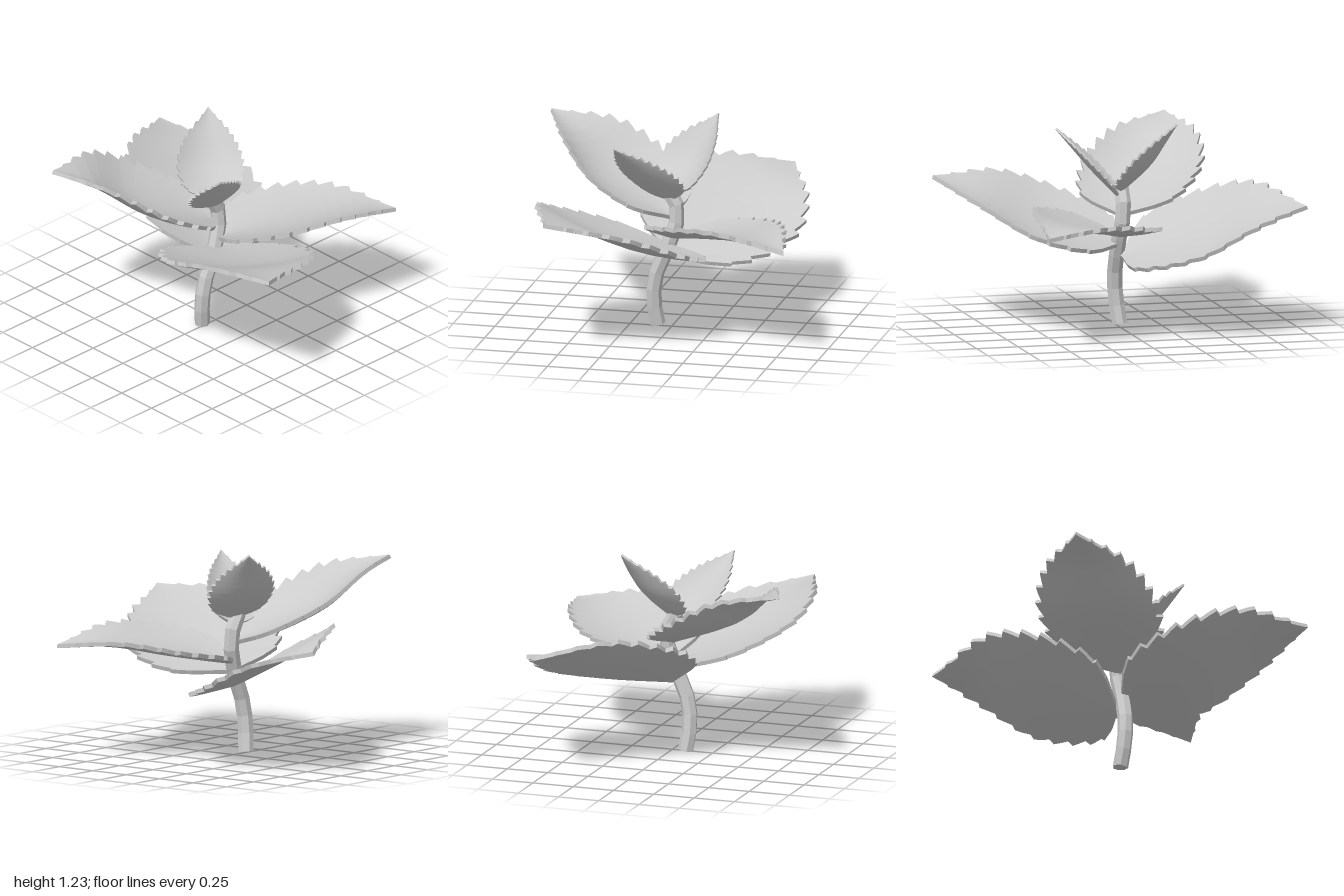
import * as THREE from 'three';

const vec = p => new THREE.Vector3(...p);
const curve = pts => new THREE.CatmullRomCurve3(pts, false, 'centripetal');
const COLS = 8, TEETH = 13;

// Edge of a leaf: a rounded outline from base through its widest point to the tip,
// lifted before the tip so that the tip droops
function edgeCurve(base, wide, tip, lift) {
  const axis = tip.clone().sub(base), reach = wide.clone().sub(base);
  const s = reach.dot(axis) / axis.lengthSq();
  const side = reach.addScaledVector(axis, -s);
  const at = (t, w) => base.clone().addScaledVector(axis, t).addScaledVector(side, w);
  const upper = at((1 + s) / 2, 0.72);
  upper.y += lift;
  return curve([base, at(s * 0.3, 0.78), wide, upper, tip]);
}

// Rows run base to tip: each tooth has a notch, a middle and a forward point
function leafRows() {
  const rows = [];
  for (let k = 0; k < TEETH; k++) {
    for (const f of [0, 0.5, 0.93]) rows.push([(k + f) / TEETH, f]);
  }
  rows.push([1, 1]);
  return rows;
}

// Serrated blade with thickness, hung between its midrib and its two edges
function leafGeometry(height, tooth, lift, ...points) {
  const base = new THREE.Vector3(0, height, 0);
  const [tip, mid, left, right] = points.map(vec);
  const L = edgeCurve(base, left, tip, lift), R = edgeCurve(base, right, tip, lift);
  const bend = mid.clone().lerp(tip, 0.55);
  bend.y += lift;
  const M = curve([base, mid, bend, tip]);
  const grid = leafRows().map(([t, saw]) => {
    const [l, m, r] = [L, M, R].map(c => c.getPointAt(t));
    // Smooth curve across the blade through edge, midrib, edge
    const row = Array.from({ length: COLS + 1 }, (_, j) => {
      const v = j / COLS;
      return new THREE.Vector3()
        .addScaledVector(l, (1 - v) * (1 - 2 * v))
        .addScaledVector(m, 4 * v * (1 - v))
        .addScaledVector(r, v * (2 * v - 1));
    });
    // Pull the edge in at the notches; no teeth near the stem
    const cut = tooth * (1 - saw) * THREE.MathUtils.smoothstep(t, 0.12, 0.35);
    for (const [j, next] of [[0, 1], [COLS, COLS - 1]]) {
      const inward = row[next].clone().sub(row[j]), gap = inward.length();
      row[j].addScaledVector(inward.normalize(), Math.min(cut, gap * 0.8));
    }
    return row;
  });

  // Thickness along the mean normal of the blade
  const drop = right.clone().sub(left).cross(tip.clone().sub(base))
    .normalize().multiplyScalar(-tooth * 0.5);

  const pos = [], index = [];
  const add = p => pos.push(p.x, p.y, p.z) / 3 - 1;
  const top = grid.map(row => row.map(add));
  const bottom = grid.map(row => row.map(p => add(p.clone().add(drop))));
  for (let i = 0; i < grid.length - 1; i++) {
    for (let j = 0; j < COLS; j++) {
      const quad = s => [s[i][j], s[i][j + 1], s[i + 1][j], s[i + 1][j + 1]];
      const [a, b, c, d] = quad(top), [e, f, g, h] = quad(bottom);
      index.push(a, b, d, a, d, c, e, h, f, e, g, h);
    }
    // Rim walls with their own vertices for crisp edges
    for (const [j, flip] of [[0, false], [COLS, true]]) {
      const p = grid[i][j], q = grid[i + 1][j];
      const [a, b, c, d] = [p, q, q.clone().add(drop), p.clone().add(drop)].map(add);
      index.push(...(flip ? [a, c, b, a, d, c] : [a, b, c, a, c, d]));
    }
  }
  const geo = new THREE.BufferGeometry();
  geo.setAttribute('position', new THREE.Float32BufferAttribute(pos, 3));
  geo.setIndex(index);
  geo.computeVertexNormals();
  return geo;
}

export function createModel() {
  const model = new THREE.Group();
  model.name = 'plant';
  const leafMat = new THREE.MeshStandardMaterial({ color: 0xcccccc, side: THREE.DoubleSide });
  const stemMat = new THREE.MeshStandardMaterial({ color: 0xcccccc, flatShading: true });
  const add = (name, geo, mat) => {
    const mesh = new THREE.Mesh(geo, mat);
    mesh.name = name;
    model.add(mesh);
    return mesh;
  };

  // Bent faceted stem
  const path = curve([[-0.09, 0, -0.02], [-0.11, 0.16, 0], [-0.09, 0.31, 0.01],
    [-0.02, 0.48, 0.01], [0.035, 0.69, -0.01], [-0.03, 0.82, -0.01]].map(vec));
  add('stem', new THREE.TubeGeometry(path, 8, 0.046, 7), stemMat);

  // Flat end at the foot and rounded bud on top
  const foot = add('stemFoot', new THREE.CircleGeometry(0.046, 7), stemMat);
  foot.rotation.x = Math.PI / 2;
  foot.position.set(-0.09, 0.002, -0.02);
  add('bud', new THREE.IcosahedronGeometry(0.04, 1), stemMat).position.set(-0.03, 0.81, -0.01);

  // Leaves: height on the stem, tooth size, lift before the tip,
  // then tip, midrib, widest left and widest right (looking from the stem towards the tip)
  const leaf = (name, ...shape) => add(name, leafGeometry(...shape), leafMat);
  leaf('frontLeaf', 0.49, 0.05, 0.03, [-0.52, 0.85, 0.99], [-0.2, 0.6, 0.4], [0.26, 0.585, 0.56], [-0.66, 0.76, 0.26]);
  leaf('backLeaf', 0.42, 0.05, 0.04, [0.5, 0.75, -0.99], [0.28, 0.61, -0.5], [-0.19, 0.77, -0.55], [0.68, 0.5, -0.3]);
  leaf('leftLeaf', 0.55, 0.05, 0.03, [0.83, 0.68, 0.65], [0.38, 0.65, 0.28], [0.54, 0.67, -0.07], [0.05, 0.74, 0.5]);
  leaf('rightLeaf', 0.66, 0.05, 0.04, [-0.84, 1.12, -0.49], [-0.43, 0.86, -0.24], [-0.46, 0.9, 0.13], [-0.17, 0.92, -0.55]);
  leaf('smallFrontLeaf', 0.76, 0.025, 0, [-0.27, 1.14, 0.31], [-0.12, 0.92, 0.14], [0.08, 0.93, 0.13], [-0.27, 0.91, 0.04]);
  leaf('smallBackLeaf', 0.8, 0.025, 0, [0.21, 1.22, -0.28], [0.09, 0.96, -0.14], [-0.13, 0.98, -0.2], [0.21, 0.97, 0.03]);
  return model;
}
